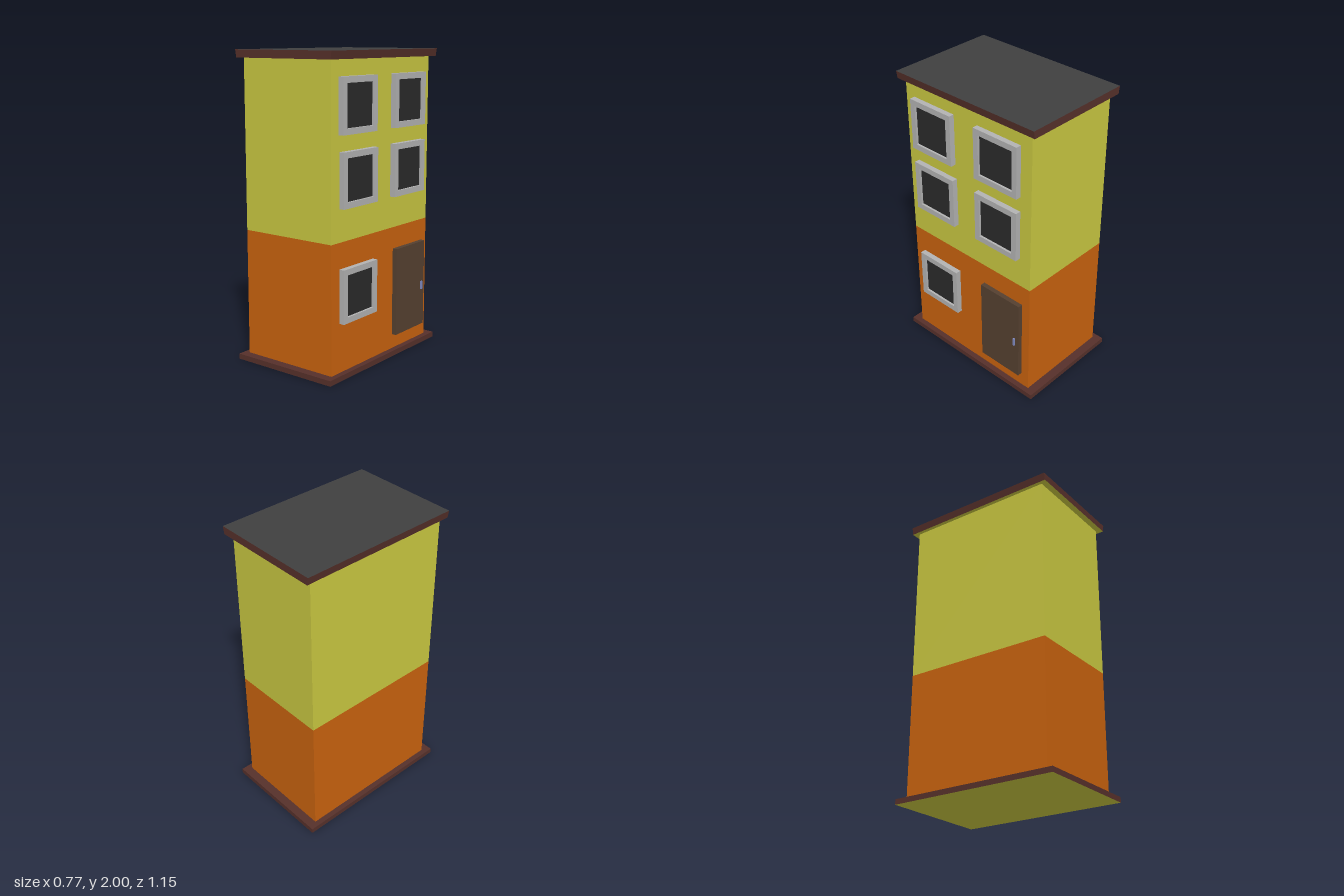
import * as THREE from 'three';

const mat = (color) => new THREE.MeshStandardMaterial({ color });

export function createModel() {
  const group = new THREE.Group();
  group.name = 'townhouse';
  const yellow = mat(0xc8c640), orange = mat(0xc8620e), brown = mat(0x56302a);
  const slate = mat(0x404040), grey = mat(0xb2b2b2), glass = mat(0x2a2a2a);
  const doorBrown = mat(0x554030), metal = mat(0x808ac0);

  // Box given by its min and max along each axis
  function box(name, [x0, x1], [y0, y1], [z0, z1], material, parent = group) {
    const mesh = new THREE.Mesh(new THREE.BoxGeometry(x1 - x0, y1 - y0, z1 - z0), material);
    mesh.position.set((x0 + x1) / 2, (y0 + y1) / 2, (z0 + z1) / 2);
    mesh.name = name;
    parent.add(mesh);
    return mesh;
  }

  // Storeys
  const wallX = [-0.347, 0.341], wallZ = [-0.516, 0.516];
  box('lowerWalls', wallX, [0.035, 0.86], wallZ, orange);
  box('upperWalls', wallX, [0.86, 1.95], wallZ, yellow);

  // Plinth with a yellow underside
  box('plinth', [-0.384, 0.379], [0, 0.035], [-0.575, 0.575],
    [brown, brown, brown, yellow, brown, brown]);

  // Roof slab: slate top, brown edge, sides leaning slightly outwards
  const roof = box('roof', [-0.38, 0.379], [1.95, 2], [-0.557, 0.557],
    [brown, brown, slate, yellow, brown, brown]);
  const p = roof.geometry.attributes.position;
  for (let i = 0; i < p.count; i++) if (p.getY(i) < 0) p.setX(i, p.getX(i) * 0.978);
  roof.geometry.computeVertexNormals();

  // Windows: square frame with a recessed pane
  const half = 0.171, inner = 0.133, depth = 0.037;
  const square = (path, r) =>
    path.moveTo(-r, -r).lineTo(r, -r).lineTo(r, r).lineTo(-r, r).closePath();
  const frameShape = square(new THREE.Shape(), half);
  frameShape.holes.push(square(new THREE.Path(), inner));
  const frameGeo = new THREE.ExtrudeGeometry(frameShape, { depth, bevelEnabled: false });
  frameGeo.rotateY(Math.PI / 2);

  for (const [y, z] of [[1.68, 0.275], [1.68, -0.26], [1.238, 0.267], [1.238, -0.26], [0.524, 0.267]]) {
    const win = new THREE.Group();
    win.name = 'window';
    win.position.set(wallX[1], y, z);
    const frame = new THREE.Mesh(frameGeo, grey);
    frame.name = 'windowFrame';
    win.add(frame);
    box('windowPane', [0, 0.022], [-inner, inner], [-inner, inner], glass, win);
    group.add(win);
  }

  // Door and handle
  box('door', [0.34, 0.373], [0.132, 0.717], [-0.455, -0.127], doorBrown);
  box('doorHandle', [0.37, 0.384], [0.384, 0.439], [-0.427, -0.413], metal);

  return group;
}
